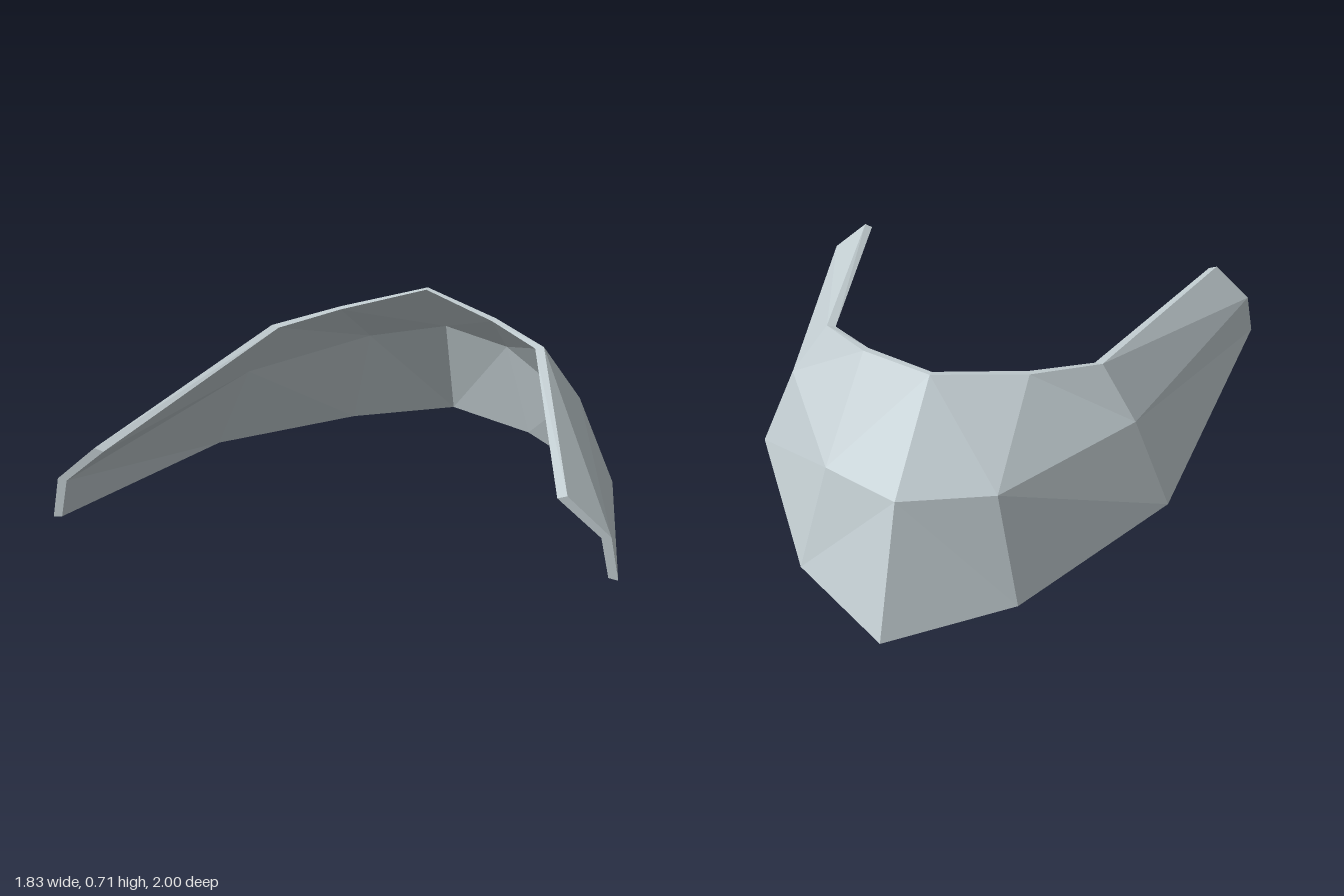
import * as THREE from 'three';

// Cross-sections from the left tip to the middle of the back. Each ring runs
// outer bottom, outer crease, outer top, inner top, inner crease, inner bottom.
const sections = [
  [[0.915, 0.3, 1], [0.888, 0.44, 1], [0.752, 0.56, 1], [0.722, 0.55, 1], [0.858, 0.435, 1], [0.885, 0.305, 1]],
  [[0.78, 0.12, -0.1], [0.645, 0.44, -0.1], [0.512, 0.635, -0.07], [0.482, 0.63, -0.06], [0.615, 0.435, -0.085], [0.75, 0.125, -0.09]],
  [[0.39, 0.03, -0.715], [0.3, 0.42, -0.66], [0.3, 0.663, -0.265], [0.292, 0.66, -0.235], [0.282, 0.422, -0.63], [0.372, 0.035, -0.69]],
  [[0, 0, -1], [0, 0.44, -0.82], [0, 0.707, -0.44], [0, 0.705, -0.415], [0, 0.435, -0.785], [0, 0.005, -0.965]],
];

// One half of the band; side is 1 for left, -1 for the mirrored right
function halfBand(side) {
  const positions = [];
  const tri = (a, b, c) => {
    const corners = side > 0 ? [a, b, c] : [a, c, b];
    for (const [x, y, z] of corners) positions.push(x * side, y, z);
  };
  const quad = (a, b, c, d) => { tri(a, b, c); tri(a, c, d); };

  // Walls between neighbouring sections
  for (let i = 0; i < sections.length - 1; i++) {
    const p = sections[i], q = sections[i + 1];
    for (let j = 0; j < 6; j++) {
      const k = (j + 1) % 6;
      quad(p[j], q[j], q[k], p[k]);
    }
  }
  // Closed tip
  const e = sections[0];
  quad(e[0], e[1], e[4], e[5]);
  quad(e[1], e[2], e[3], e[4]);

  const geometry = new THREE.BufferGeometry();
  geometry.setAttribute('position', new THREE.Float32BufferAttribute(positions, 3));
  geometry.computeVertexNormals();
  return geometry;
}

export function createModel() {
  const group = new THREE.Group();
  group.name = 'curvedBand';
  const paleGrey = new THREE.MeshStandardMaterial({ color: 0xc3ced2, flatShading: true });
  paleGrey.name = 'paleGrey';

  for (const [name, side] of [['leftBand', 1], ['rightBand', -1]]) {
    const mesh = new THREE.Mesh(halfBand(side), paleGrey);
    mesh.name = name;
    group.add(mesh);
  }
  return group;
}
